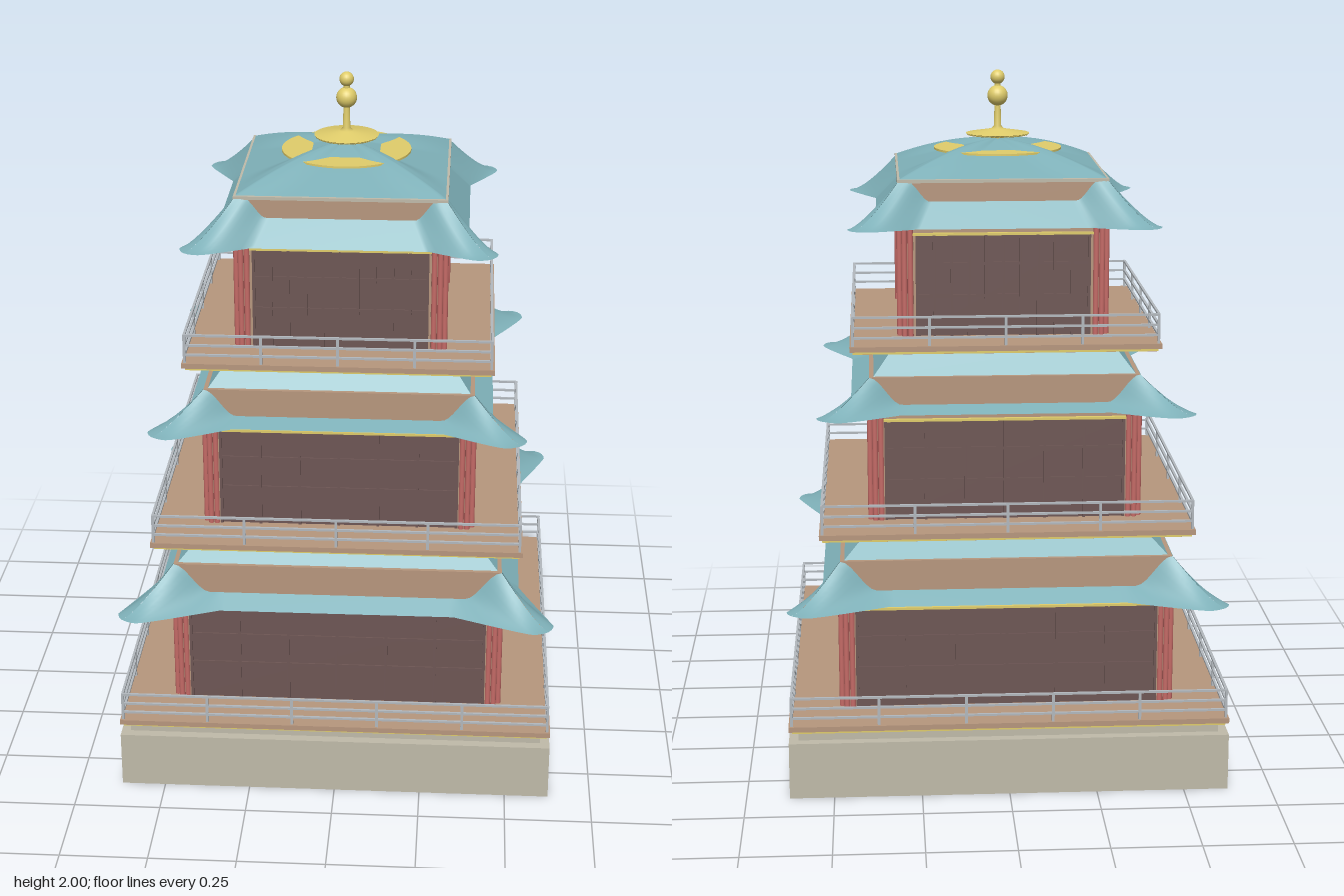
import * as THREE from 'three';
import { mergeGeometries, mergeVertices } from 'three/addons/utils/BufferGeometryUtils.js';

const paint = (name, color, side = THREE.FrontSide) => {
  const m = new THREE.MeshStandardMaterial({ color, side });
  m.name = name;
  return m;
};

export function createModel() {
  const teal = paint('roof teal', 0x7eb0b8, THREE.DoubleSide);
  const tan = paint('timber tan', 0xb6967d);
  const stone = paint('stone', 0xbfbaa9);
  const panel = paint('panel brown', 0x6d5654);
  const gold = paint('gold', 0xdfcc6a);
  const red = paint('column red', 0xc46a66);
  const grey = paint('railing grey', 0xb2b8bd);

  const root = new THREE.Group();
  root.name = 'pagoda';

  const add = (parent, name, geo, mat, x = 0, y = 0, z = 0) => {
    const m = new THREE.Mesh(geo, mat);
    m.name = name;
    m.position.set(x, y, z);
    parent.add(m);
    return m;
  };
  // square slab of half width r between two heights
  const slab = (parent, name, mat, r, y0, y1) =>
    add(parent, name, new THREE.BoxGeometry(2 * r, y1 - y0, 2 * r), mat, 0, (y0 + y1) / 2, 0);
  const block = (parent, name, mat, w, h, d, x, y, z) =>
    add(parent, name, new THREE.BoxGeometry(w, h, d), mat, x, y, z);
  // repeat a builder on all four sides
  const fourSides = (parent, name, build) => {
    for (let i = 0; i < 4; i++) {
      const g = new THREE.Group();
      g.name = name;
      g.rotation.y = i * Math.PI / 2;
      build(g);
      parent.add(g);
    }
  };
  const lerp = THREE.MathUtils.lerp;
  const smooth = THREE.MathUtils.smoothstep;

  // four-sided roof surface: fn(s, v) gives a point on the front side,
  // s = -1..1 along the side, v = 0..1 from the top to the eave
  const roofSurface = (fn) => {
    const sides = [];
    for (let i = 0; i < 4; i++) {
      const g = new THREE.PlaneGeometry(2, 1, 64, 12);
      const p = g.attributes.position;
      for (let k = 0; k < p.count; k++) {
        const [x, y, z] = fn(p.getX(k), 0.5 - p.getY(k));
        p.setXYZ(k, x, y, z);
      }
      g.deleteAttribute('normal');
      g.deleteAttribute('uv');
      sides.push(g.rotateY(i * Math.PI / 2));
    }
    const all = mergeVertices(mergeGeometries(sides), 1e-4);
    all.computeVertexNormals();
    return all;
  };

  // piecewise linear lookup through [key, value] pairs
  const along = (pts, t) => {
    for (let i = 1; i < pts.length; i++) {
      const [a, b] = [pts[i - 1], pts[i]];
      if (t <= b[0]) return lerp(a[1], b[1], (t - a[0]) / (b[0] - a[0]));
    }
    return pts[pts.length - 1][1];
  };

  // skirt roof with rounded, flaring corner tongues
  const skirt = ({ neck, eave, tip, flare, eaveY, low, high, hipFrom, hipTo }) => {
    const xs = [[0, 0], [0.72, flare], [0.86, tip - 0.082], [0.91, tip - 0.056], [0.96, tip - 0.034], [1, tip - 0.016]];
    const zs = [[0, eave], [0.72, eave], [0.86, tip - 0.01], [0.91, tip], [0.96, tip - 0.004], [1, tip - 0.016]];
    return roofSurface((s, v) => {
      const a = Math.abs(s);
      const hip = smooth(a, hipFrom, hipTo);
      const x = lerp(neck * a, along(xs, a), v) * Math.sign(s);
      const z = lerp(neck + 0.001, along(zs, a), v);
      const fall = lerp(1 - v, (1 - v) ** 1.3, hip);
      const y = eaveY + (lerp(low, high, hip) - eaveY) * fall + 0.006 * hip * v ** 6;
      return [x, y, z];
    });
  };

  // stone base
  slab(root, 'stoneBase', stone, 0.627, 0, 0.165);
  slab(root, 'stoneStep', stone, 0.6, 0.165, 0.193);

  const tiers = [
    { deck: 0.627, floor: 0.215, wall: 0.49, panelW: 0.435, panelTop: 0.507, bays: 5, battens: 6, rail: 0.3,
      neck: 0.476, eave: 0.53, tip: 0.627, flare: 0.34, eaveY: 0.535, low: 0.567, high: 0.655,
      hipFrom: 0.78, hipTo: 1, topR: 0.385, topY: 0.73 },
    { deck: 0.533, floor: 0.75, wall: 0.4, panelW: 0.345, panelTop: 1.04, bays: 4, battens: 6, rail: 0.835,
      neck: 0.386, eave: 0.44, tip: 0.536, flare: 0.3, eaveY: 1.072, low: 1.09, high: 1.17,
      hipFrom: 0.76, hipTo: 1, topR: 0.31, topY: 1.25 },
    { deck: 0.44, floor: 1.27, wall: 0.31, panelW: 0.25, panelTop: 1.56, bays: 4, battens: 10, rail: 1.355,
      neck: 0.296, eave: 0.36, tip: 0.442, flare: 0.25, eaveY: 1.588, low: 1.657, high: 1.715,
      hipFrom: 0.7, hipTo: 0.92 },
  ];

  for (const t of tiers) {
    const tier = new THREE.Group();
    tier.name = 'tier';
    root.add(tier);

    // balcony deck, wall core, soffit and the timber band under the roof
    slab(tier, 'deck', tan, t.deck, t.floor - 0.015, t.floor);
    slab(tier, 'deckUnderside', tan, t.deck - 0.012, t.floor - 0.024, t.floor - 0.015);
    slab(tier, 'wallCore', tan, t.wall - 0.025, t.floor, t.eaveY);
    slab(tier, 'soffit', tan, t.wall + 0.008, t.eaveY - 0.006, t.eaveY + 0.006);
    slab(tier, 'roofBand', tan, t.neck, t.eaveY + 0.006, t.high);

    const panelH = t.panelTop - t.floor;
    const wallH = t.eaveY - t.floor;
    const face = t.wall - 0.025;
    fourSides(tier, 'wallSide', (g) => {
      // gold edges of the deck and the soffit
      block(g, 'deckTrim', gold, 2 * t.deck - 0.02, 0.007, 0.004, 0, t.floor - 0.0195, t.deck - 0.011);
      block(g, 'eaveTrim', gold, 2 * t.wall + 0.02, 0.01, 0.004, 0, t.eaveY, t.wall + 0.009);
      // wall panel with its frame
      block(g, 'wallPanel', panel, 2 * t.panelW, panelH, 0.008, 0, t.floor + panelH / 2, face + 0.004);
      block(g, 'panelHead', gold, 2 * t.panelW + 0.016, 0.007, 0.012, 0, t.panelTop + 0.003, face + 0.006);
      for (let i = 0; i <= t.battens; i++) {
        block(g, 'batten', panel, 0.008, panelH, 0.014,
          lerp(-t.panelW + 0.004, t.panelW - 0.004, i / t.battens), t.floor + panelH / 2, face + 0.007);
      }
      for (const f of [0.4, 0.72]) {
        block(g, 'crossRail', panel, 2 * t.panelW, 0.008, 0.012, 0, t.floor + panelH * f, face + 0.006);
      }
      // red columns beside the panel
      for (const sx of [-1, 1]) {
        for (const dx of [0.028, 0.045]) {
          add(g, 'column', new THREE.CylinderGeometry(0.008, 0.008, wallH, 12), red,
            sx * (t.wall - dx), t.floor + wallH / 2, t.wall - 0.014);
        }
        block(g, 'panelJamb', tan, 0.006, panelH, 0.014, sx * (t.panelW + 0.003), t.floor + panelH / 2, face + 0.006);
      }
    });

    // railing
    fourSides(tier, 'railing', (g) => {
      const r = t.deck - 0.009;
      const h = t.rail - t.floor;
      for (const f of [0.97, 0.62, 0.28]) {
        block(g, 'handrail', grey, 2 * r, 0.006, 0.007, 0, t.floor + h * f, r);
      }
      for (let i = 0; i < t.bays; i++) {
        block(g, 'railPost', grey, 0.008, h, 0.007, lerp(-r, r, i / t.bays), t.floor + h / 2, r);
      }
    });

    // roof skirt, then the upper slope where another tier stands above
    add(tier, 'roofSkirt', skirt(t), teal);
    if (t.topR) {
      const h = t.topY - t.high;
      const slope = new THREE.CylinderGeometry(t.topR * Math.SQRT2, (t.neck - 0.012) * Math.SQRT2, h, 4, 1, true)
        .rotateY(Math.PI / 4).toNonIndexed();
      slope.computeVertexNormals();
      add(tier, 'upperSlope', slope, teal, 0, t.high + h / 2, 0);
    }
  }

  // top roof with raised hips and a pale rim
  slab(root, 'topRim', stone, 0.3, 1.71, 1.719);
  add(root, 'topRoof', roofSurface((s, v) => {
    const r = 0.293 * v;
    const hip = smooth(Math.abs(s), 0.4, 0.85);
    return [r * s, 1.802 - 0.082 * v ** lerp(1.05, 1.7, hip), r];
  }), teal);

  // gold ring and finial
  const ring = new THREE.Shape().absarc(0, 0, 0.187, 0, Math.PI * 2);
  ring.holes.push(new THREE.Path().absarc(0, 0, 0.09, 0, Math.PI * 2, true));
  const ringGeo = new THREE.ExtrudeGeometry(ring, { depth: 0.006, bevelEnabled: false, curveSegments: 40 });
  add(root, 'goldRing', ringGeo.rotateX(-Math.PI / 2), gold, 0, 1.77, 0);
  const profile = [[0, 1.811], [0.09, 1.811], [0.093, 1.816], [0.02, 1.828], [0.011, 1.836], [0.009, 1.9]]
    .map(([x, y]) => new THREE.Vector2(x, y));
  add(root, 'finialPlate', new THREE.LatheGeometry(profile, 40), gold);
  add(root, 'finialPole', new THREE.CylinderGeometry(0.009, 0.009, 0.2, 16), gold, 0, 1.87, 0);
  add(root, 'finialBall', new THREE.SphereGeometry(0.03, 24, 16), gold, 0, 1.925, 0);
  add(root, 'finialTip', new THREE.SphereGeometry(0.021, 20, 14), gold, 0, 1.979, 0);

  return root;
}
